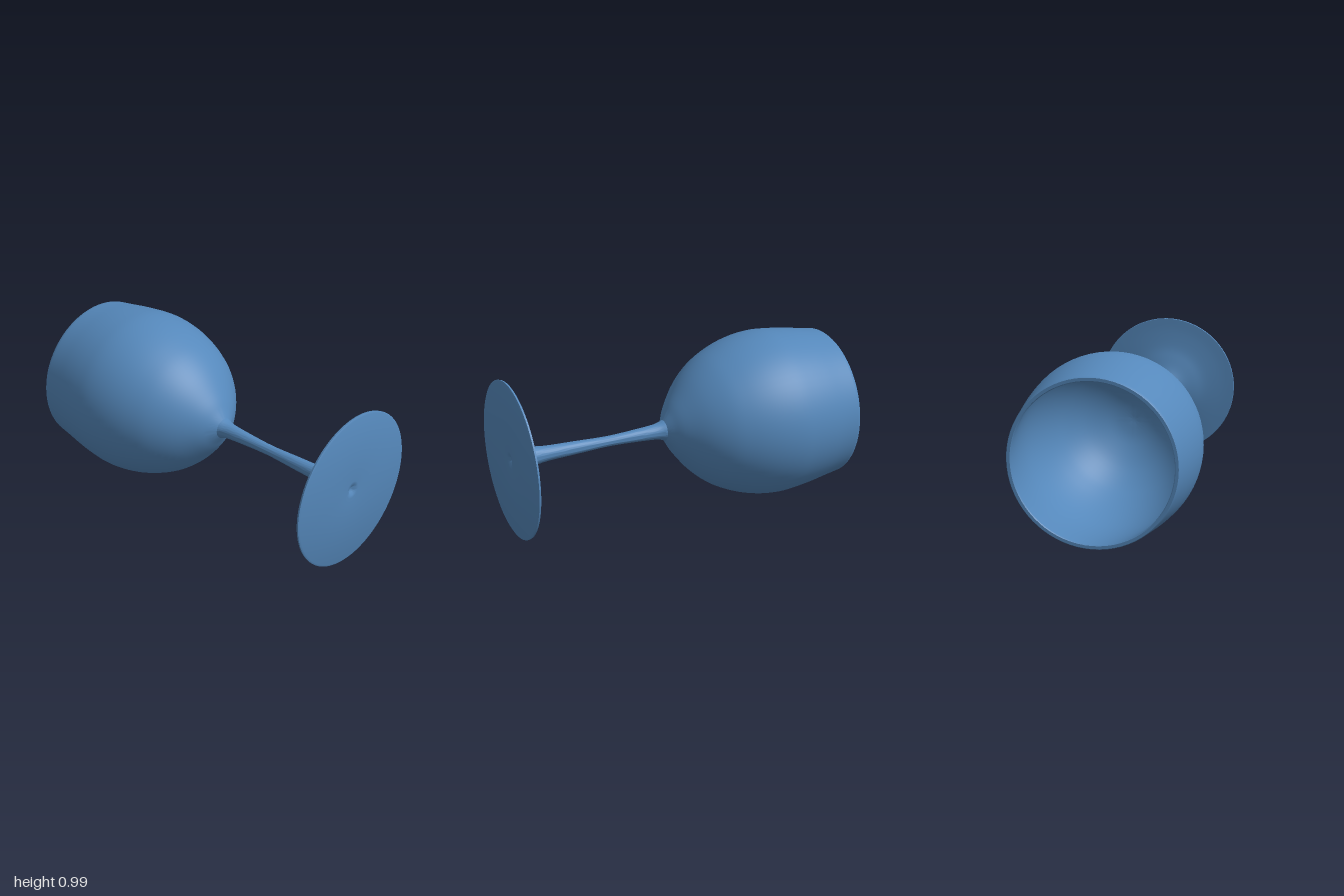
import * as THREE from 'three';
import { toCreasedNormals } from 'three/addons/utils/BufferGeometryUtils.js';

const SEGMENTS = 72;

// Smooth curve through [radius, height] pairs
const smooth = (pairs, steps) =>
  new THREE.SplineCurve(pairs.map(([r, h]) => new THREE.Vector2(r, h))).getPoints(steps)
    .map((p) => new THREE.Vector2(Math.max(p.x, 0), p.y));

const straight = (pairs) => pairs.map(([r, h]) => new THREE.Vector2(r, h));

export function createModel() {
  const model = new THREE.Group();
  const glass = new THREE.Group();
  glass.name = 'wineGlass';
  model.add(glass);
  const material = new THREE.MeshStandardMaterial({ color: 0x5588bb, roughness: 0.6, side: THREE.DoubleSide });

  const turn = (name, points) => {
    const geometry = toCreasedNormals(new THREE.LatheGeometry(points, SEGMENTS), 0.7);
    const mesh = new THREE.Mesh(geometry, material);
    mesh.name = name;
    glass.add(mesh);
  };

  // Foot: flat underside with a small dimple, thin edge, flared top
  turn('foot', [
    ...straight([[0, -0.98], [0.018, -0.985], [0.032, -0.997], [0.05, -0.998], [0.435, -1], [0.445, -0.995]]),
    ...smooth([[0.443, -0.985], [0.36, -0.98], [0.26, -0.967], [0.19, -0.948], [0.12, -0.925],
      [0.075, -0.9], [0.053, -0.865]], 30),
  ]);

  // Stem: waisted, widening into foot and bowl
  turn('stem', smooth([[0.053, -0.865], [0.043, -0.78], [0.037, -0.62], [0.03, -0.42],
    [0.036, -0.25], [0.045, -0.12], [0.06, -0.065]], 30));

  // Bowl: outer wall up to the rim, then back down the inner wall
  turn('bowl', [
    ...smooth([[0.06, -0.065], [0.1, -0.04], [0.17, 0.005], [0.285, 0.1], [0.37, 0.2], [0.425, 0.3],
      [0.463, 0.4], [0.486, 0.5], [0.495, 0.6], [0.489, 0.7], [0.477, 0.8], [0.461, 0.9], [0.447, 0.995]], 50),
    ...straight([[0.443, 1], [0.427, 1]]),
    ...smooth([[0.423, 0.995], [0.438, 0.9], [0.454, 0.8], [0.466, 0.7], [0.471, 0.6], [0.462, 0.5],
      [0.438, 0.4], [0.4, 0.3], [0.345, 0.2], [0.25, 0.1], [0.12, 0.03], [0, 0.01]], 45),
  ]);

  // Lay the glass on its side, foot to the front and opening to the back
  glass.rotation.x = -Math.PI / 2;
  glass.position.y = 0.497;
  return model;
}
